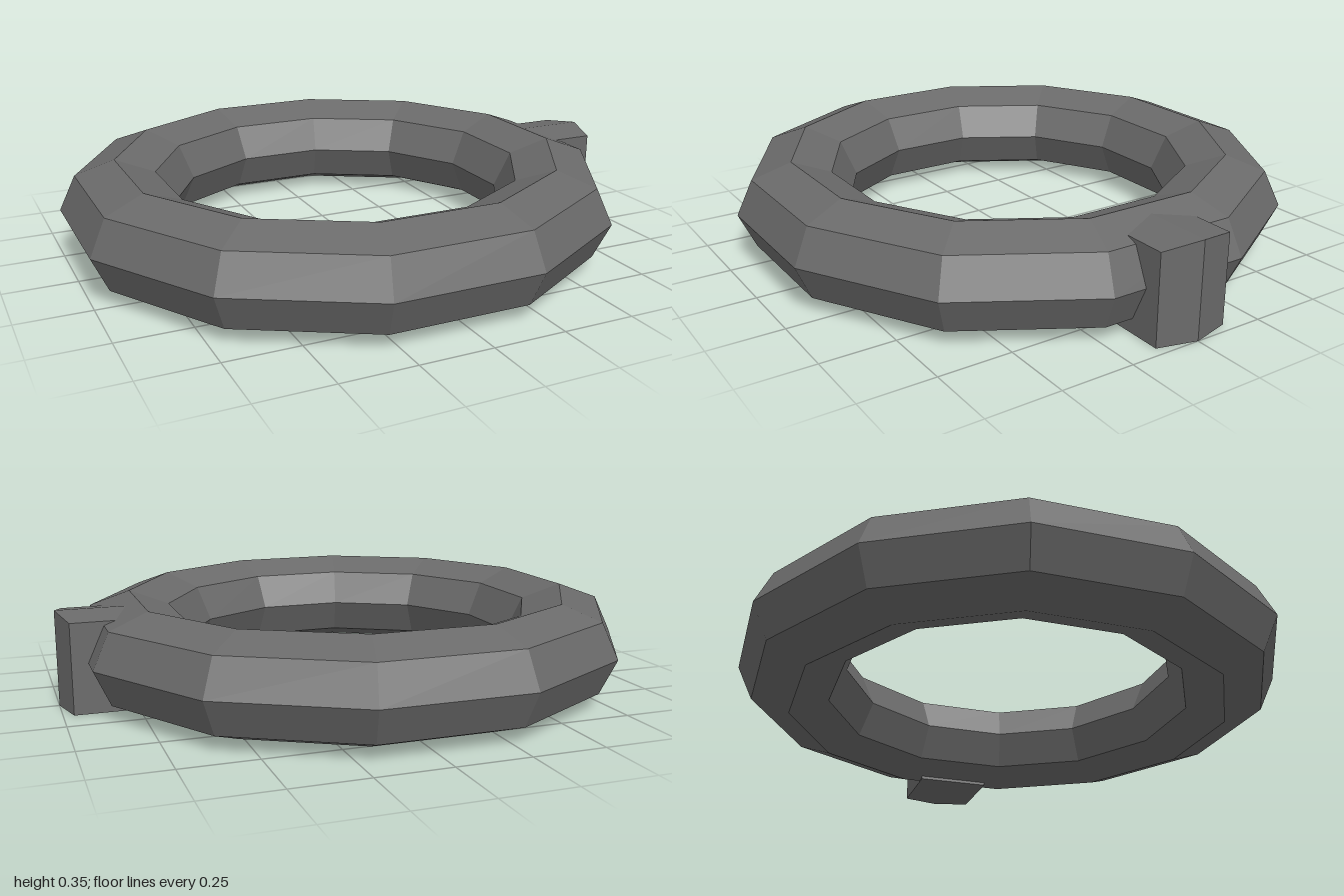
import * as THREE from 'three';

export function createModel() {
  const group = new THREE.Group();
  const grey = new THREE.MeshStandardMaterial({ color: 0x6a6a6a, flatShading: true });
  grey.name = 'dark grey';

  // Twelve-sided ring with an octagonal, slightly flattened tube; flats face the axes
  const ringGeo = new THREE.TorusGeometry(0.792, 0.197, 8, 12);
  ringGeo.rotateZ(Math.PI / 12);
  ringGeo.rotateX(-Math.PI / 2);
  ringGeo.scale(1, 0.173 / 0.197, 0.985);
  const ring = new THREE.Mesh(ringGeo, grey);
  ring.name = 'ring';
  ring.position.set(-0.045, 0.173, 0);
  group.add(ring);

  // Clasp block: the middle row is pushed out and up to form a ridge
  const x0 = 0.69, x1 = 0.965, height = 0.31;
  const claspGeo = new THREE.BoxGeometry(x1 - x0, height, 0.27, 1, 1, 2);
  claspGeo.translate((x0 + x1) / 2, height / 2, 0);
  const p = claspGeo.attributes.position;
  for (let i = 0; i < p.count; i++) {
    if (Math.abs(p.getZ(i)) > 0.01) continue;
    if (p.getX(i) > 0.9) p.setX(i, 1);
    if (p.getY(i) > 0.2) p.setY(i, 0.33);
  }
  claspGeo.computeVertexNormals();
  const clasp = new THREE.Mesh(claspGeo, grey);
  clasp.name = 'clasp';
  group.add(clasp);

  return group;
}
